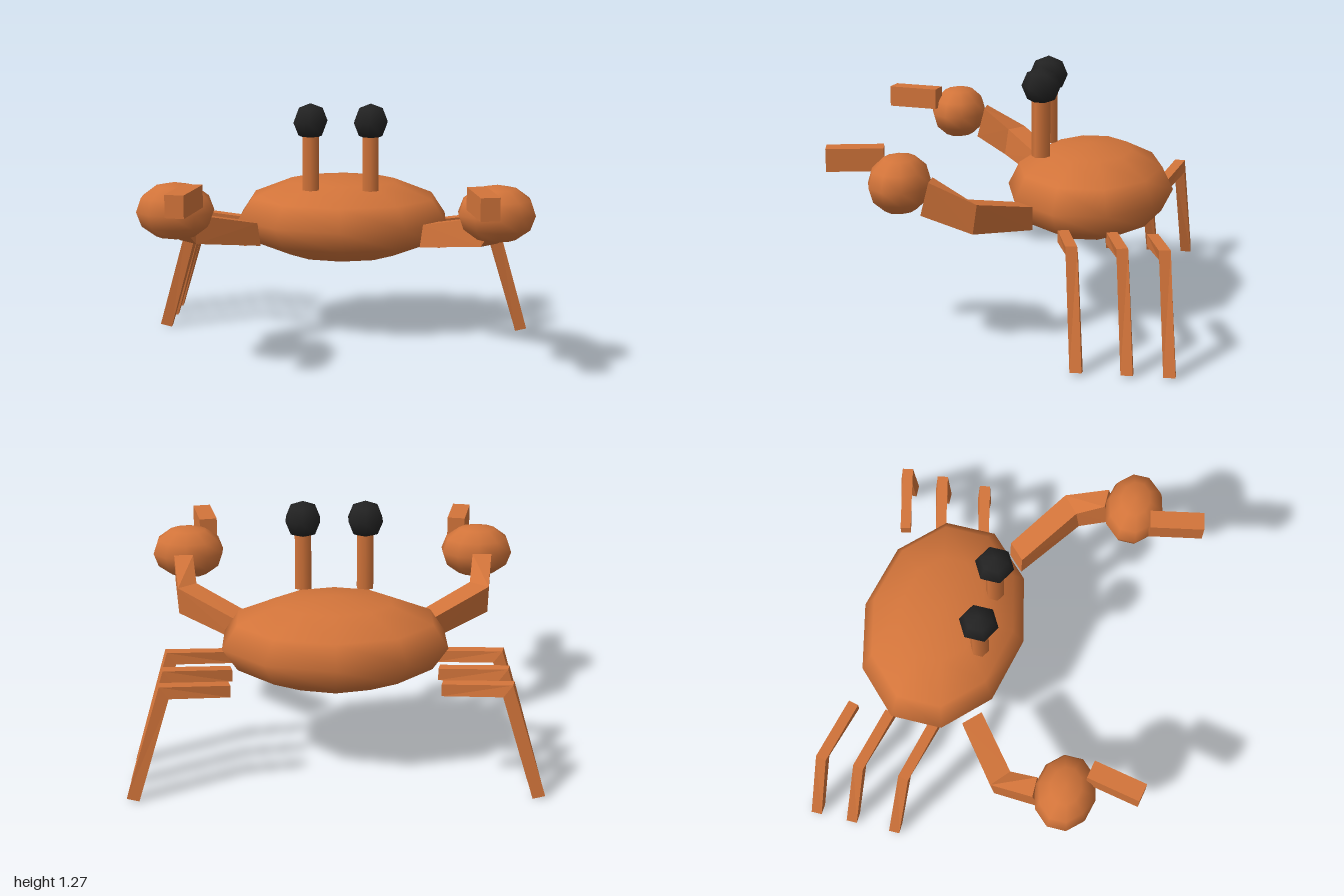
import * as THREE from 'three';

// Square-section limb skinned through rings of { c: centre, s: half side, u: half up }; m = -1 mirrors in x
function limb(rings, m) {
  const corners = rings.map(({ c, s, u }) =>
    [[-1, -1], [1, -1], [1, 1], [-1, 1]].map(([a, b]) =>
      new THREE.Vector3(...c.map((v, i) => v + a * s[i] + b * u[i])).multiply(new THREE.Vector3(m, 1, 1))));
  const pts = [];
  const quad = (a, b, c, d) => {
    const q = m > 0 ? [a, b, c, a, c, d] : [a, c, b, a, d, c];
    pts.push(...q);
  };
  for (let r = 0; r < rings.length - 1; r++)
    for (let i = 0; i < 4; i++) {
      const j = (i + 1) % 4;
      quad(corners[r][i], corners[r][j], corners[r + 1][j], corners[r + 1][i]);
    }
  const [a, b] = [corners[0], corners[rings.length - 1]];
  quad(a[3], a[2], a[1], a[0]);
  quad(b[0], b[1], b[2], b[3]);
  const geo = new THREE.BufferGeometry().setFromPoints(pts);
  geo.computeVertexNormals();
  return geo;
}

export function createModel() {
  const group = new THREE.Group();
  const shell = new THREE.MeshStandardMaterial({ color: 0xd2743a });
  shell.name = 'orange shell';
  const black = new THREE.MeshStandardMaterial({ color: 0x222222 });
  black.name = 'eye black';

  const add = (name, geo, mat, x = 0, y = 0, z = 0) => {
    const mesh = new THREE.Mesh(geo, mat);
    mesh.name = name;
    mesh.position.set(x, y, z);
    group.add(mesh);
    return mesh;
  };
  // Faceted-outline ellipsoid with a vertex facing front and back
  const ball = (w, h, rx, ry, rz) =>
    new THREE.SphereGeometry(1, w, h).rotateY(Math.PI / 2).scale(rx, ry, rz);

  add('body', ball(10, 6, 0.578, 0.23, 0.422), shell, 0, 0.635, -0.35);

  for (const m of [1, -1]) {
    const side = m > 0 ? 'left' : 'right';

    // Eye on a stalk
    add(side + 'EyeStalk', new THREE.CylinderGeometry(0.047, 0.047, 0.3, 6).toNonIndexed(), shell, m * 0.155, 0.975, -0.115);
    add(side + 'Eye', ball(6, 4, 0.098, 0.095, 0.098), black, m * 0.155, 1.182, -0.115);

    // Bent arm, round claw and its finger
    add(side + 'Arm', limb([
      { c: [0.46, 0.6, -0.08], s: [-0.04, 0, 0.04], u: [0.008, 0.06, 0] },
      { c: [0.76, 0.675, 0.15], s: [-0.045, 0, 0.04], u: [0, 0.072, -0.01] },
      { c: [0.79, 0.775, 0.34], s: [-0.05, 0, 0], u: [0, 0.08, -0.02] },
    ].map(({ c, s, u }) => ({ c, s: s.map(v => -v), u })), m).scale(1, 1, 1), shell);
    add(side + 'Claw', ball(10, 6, 0.193, 0.142, 0.152), shell, m * 0.775, 0.83, 0.468);
    add(side + 'Finger', new THREE.BoxGeometry(0.093, 0.11, 0.272), shell, m * 0.698, 0.925, 0.698)
      .rotation.y = m * 0.197;

    // Three walking legs
    [0, -0.235, -0.43].forEach((dz, i) => {
      add(side + 'Leg' + (i + 1), limb([
        { c: [0.505, 0.52, -0.27 + dz], s: [-0.006, 0, -0.026], u: [0, 0.03, 0] },
        { c: [0.812, 0.545, -0.345 + dz], s: [-0.006, 0, -0.027], u: [0.022, 0.03, 0] },
        { c: [0.968, 0.012, -0.387 + dz], s: [0, 0, -0.028], u: [0.03, 0.007, 0] },
      ].map(({ c, s, u }) => ({ c, s, u })), m), shell);
    });
  }
  return group;
}
